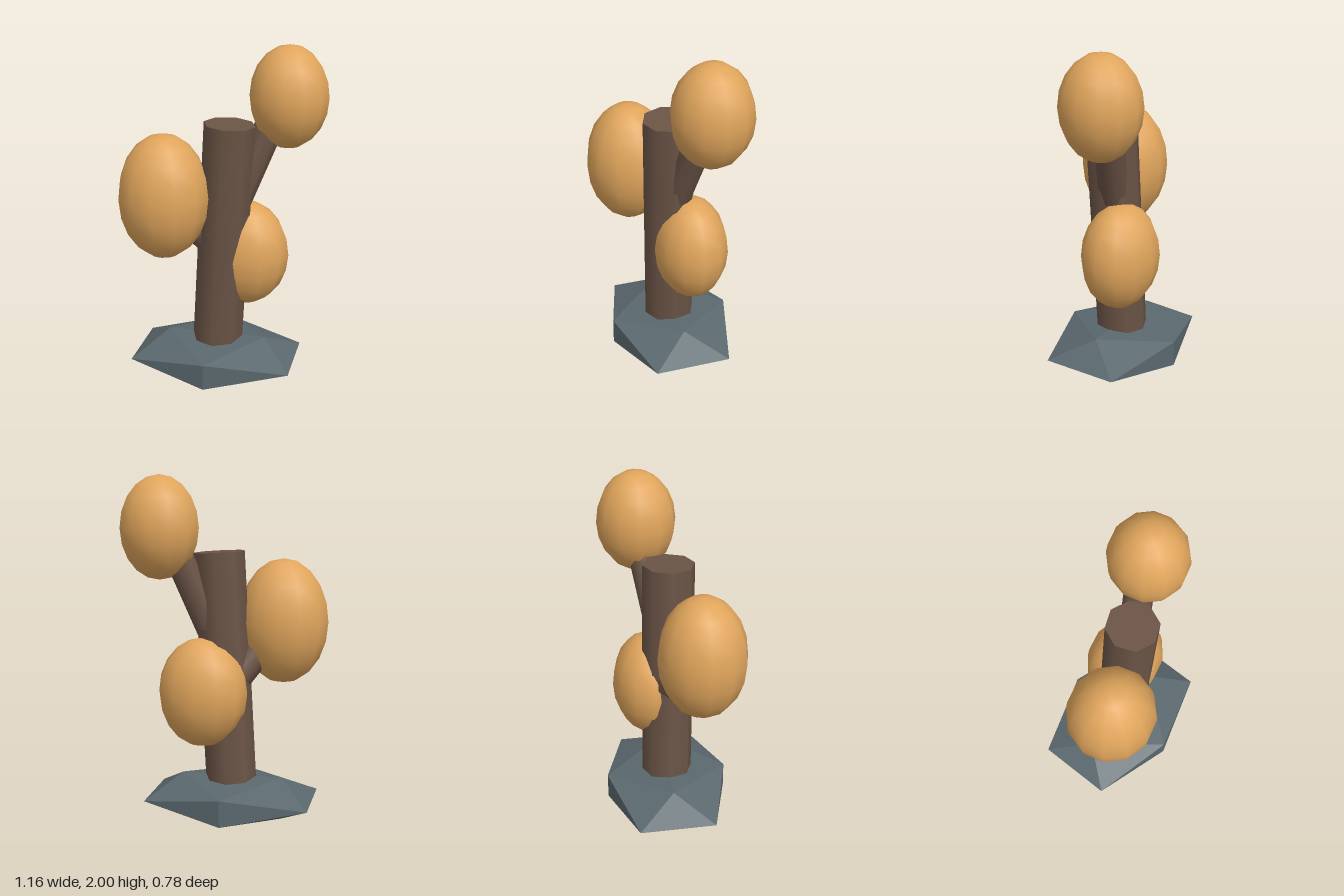
import * as THREE from 'three';

const V = (p) => new THREE.Vector3(...p);

// Straight eight-sided limb between two points
function limb(name, from, to, rBottom, rTop, material) {
  const a = V(from), b = V(to);
  const dir = b.clone().sub(a);
  const mesh = new THREE.Mesh(new THREE.CylinderGeometry(rTop, rBottom, dir.length(), 8), material);
  mesh.position.copy(a).add(b).multiplyScalar(0.5);
  mesh.quaternion.setFromUnitVectors(new THREE.Vector3(0, 1, 0), dir.normalize());
  mesh.name = name;
  return mesh;
}

export function createModel() {
  const model = new THREE.Group();
  model.name = 'rockTree';

  const stone = new THREE.MeshStandardMaterial({ color: 0x5a686e, flatShading: true });
  const bark = new THREE.MeshStandardMaterial({ color: 0x6b5446 });
  const foliage = new THREE.MeshStandardMaterial({ color: 0xe0a55c });

  // Faceted rock base, a flattened icosahedron
  const rock = new THREE.Mesh(new THREE.IcosahedronGeometry(1, 0), stone);
  rock.scale.set(0.558, 0.147, 0.423);
  rock.position.set(-0.045, 0.13, -0.03);
  rock.name = 'rockBase';
  model.add(rock);

  // Leaning trunk, rooted inside the rock
  model.add(limb('trunk', [-0.045, 0.13, -0.028], [0.038, 1.563, 0], 0.15, 0.15, bark));

  // Each branch ends inside its own egg-shaped foliage clump
  const clumps = [
    { name: 'upper', start: [0.01, 0.95, -0.01], end: [0.25, 1.55, -0.118],
      centre: [0.35, 1.705, -0.14], size: [0.228, 0.295, 0.229] },
    { name: 'middle', start: [-0.08, 0.85, -0.02], end: [-0.28, 1.11, 0.1],
      centre: [-0.317, 1.155, 0.133], size: [0.263, 0.365, 0.253] },
    { name: 'lower', start: [0.0, 0.6, -0.02], end: [0.1, 0.75, -0.1],
      centre: [0.11, 0.762, -0.11], size: [0.26, 0.317, 0.215] },
  ];
  for (const c of clumps) {
    model.add(limb(c.name + 'Branch', c.start, c.end, 0.087, 0.085, bark));
    const clump = new THREE.Mesh(new THREE.SphereGeometry(1, 12, 10), foliage);
    clump.position.set(...c.centre);
    clump.scale.set(...c.size);
    clump.name = c.name + 'Foliage';
    model.add(clump);
  }
  return model;
}
